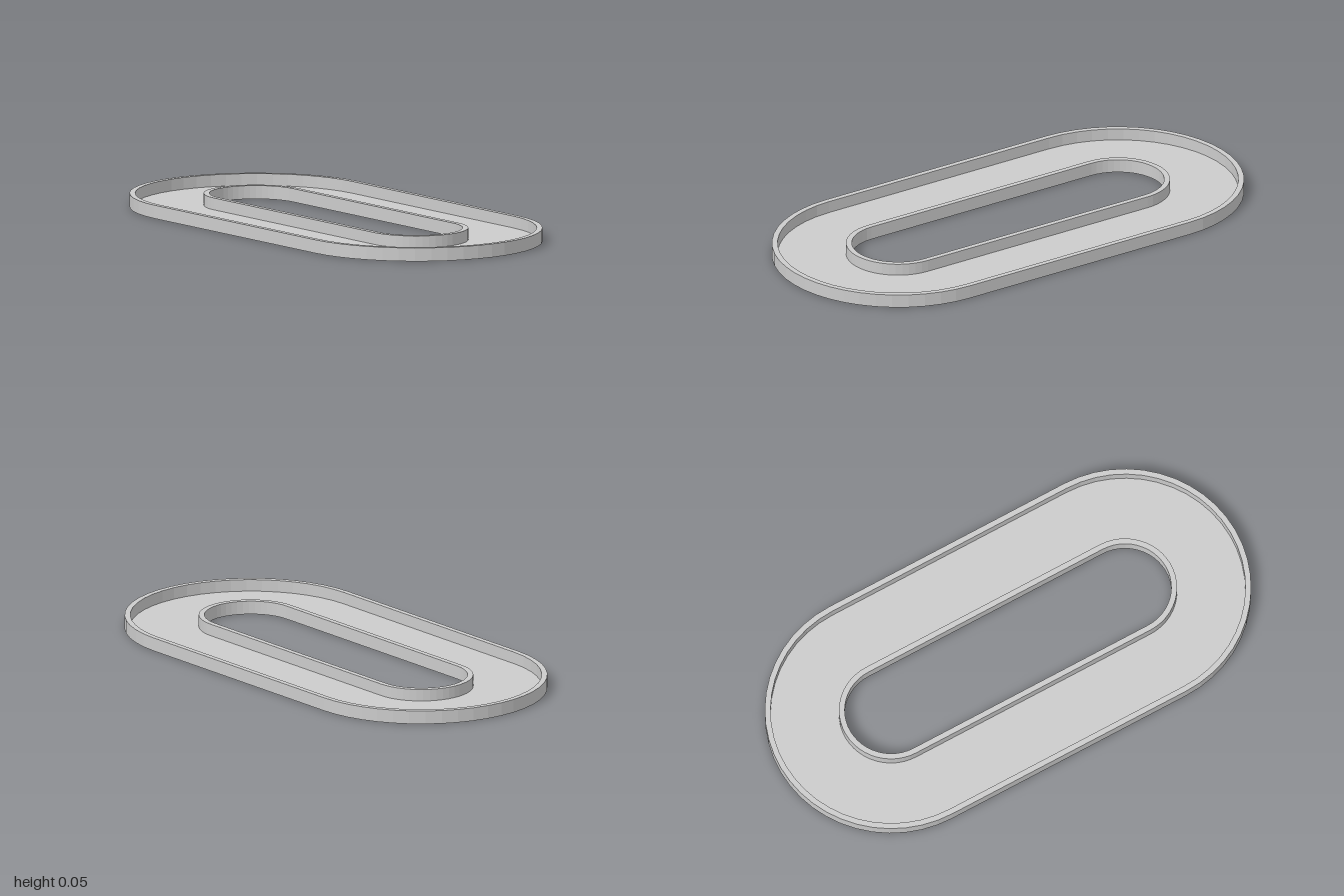
import * as THREE from 'three';

const HALF = 0.515;   // half length of the straight sides
const HEIGHT = 0.052;
const FLOOR = 0.006;
const SEGMENTS = 24;  // facets per rounded end

// Rounded slot outline of a given end radius
function slot(radius, PathType) {
  const points = [];
  for (const end of [0, 1]) {
    for (let i = 0; i <= SEGMENTS; i++) {
      const a = Math.PI * (end + i / SEGMENTS);
      points.push(new THREE.Vector2(radius * Math.cos(a), radius * Math.sin(a) + (end ? -HALF : HALF)));
    }
  }
  return new PathType(points);
}

// Upright ring between two slot outlines, from y0 to y1
function slotRing(name, outer, inner, y0, y1, material) {
  const shape = slot(outer, THREE.Shape);
  shape.holes.push(slot(inner, THREE.Path));
  const geometry = new THREE.ExtrudeGeometry(shape, { depth: y1 - y0, bevelEnabled: false });
  geometry.rotateX(-Math.PI / 2).translate(0, y0, 0);
  const mesh = new THREE.Mesh(geometry, material);
  mesh.name = name;
  return mesh;
}

export function createModel() {
  const group = new THREE.Group();
  group.name = 'slottedTray';
  const material = new THREE.MeshStandardMaterial({ color: 0xcccccc, flatShading: true });

  // Thin floor with raised rims along both edges
  group.add(
    slotRing('floor', 0.485, 0.178, 0, FLOOR, material),
    slotRing('outerRim', 0.485, 0.463, FLOOR, HEIGHT, material),
    slotRing('innerRim', 0.2, 0.178, FLOOR, HEIGHT, material),
  );
  return group;
}
